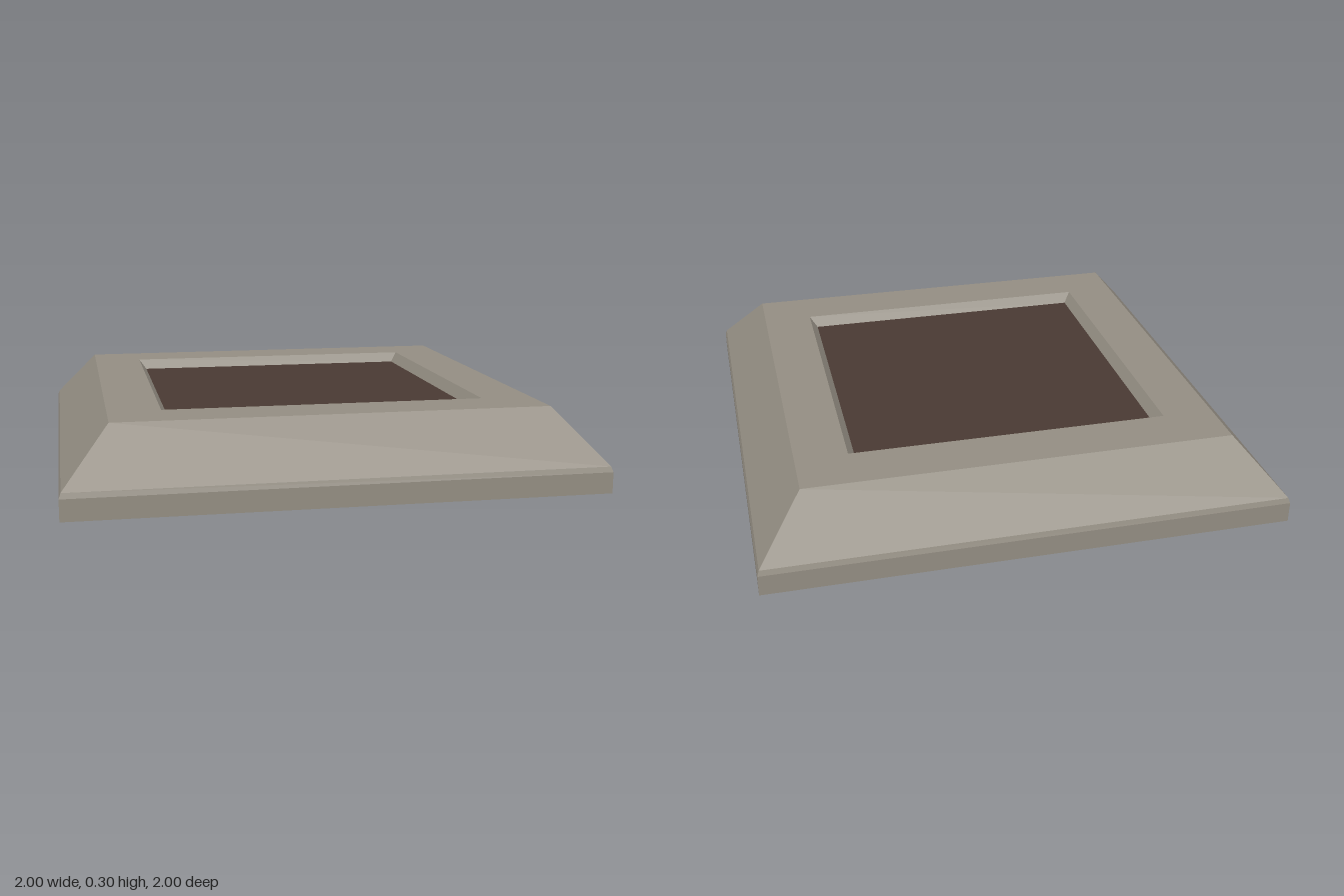
import * as THREE from 'three';

// Square ring shell: a profile of [half width, height] swept round four sides
function squareShell(profile) {
  const points = profile.map(([w, y]) => new THREE.Vector2(w * Math.SQRT2, y));
  const geometry = new THREE.LatheGeometry(points, 4, Math.PI / 4).toNonIndexed();
  geometry.computeVertexNormals();
  return geometry;
}

export function createModel() {
  const stone = new THREE.MeshStandardMaterial({ color: 0x948e83, side: THREE.DoubleSide });
  stone.name = 'stone';
  const soil = new THREE.MeshStandardMaterial({ color: 0x4a3a33, side: THREE.DoubleSide });
  soil.name = 'soil';

  const group = new THREE.Group();
  group.name = 'squarePlinth';

  // Upright skirt, small bevel, sloped sides, flat rim and recessed lip; open underneath
  const base = new THREE.Mesh(squareShell([
    [1, 0], [1, 0.08], [0.993, 0.1], [0.82, 0.3], [0.62, 0.3], [0.59, 0.26],
  ]), stone);
  base.name = 'stoneSurround';
  group.add(base);

  // Sunken panel closing the recess
  const panel = new THREE.Mesh(new THREE.PlaneGeometry(1.18, 1.18), soil);
  panel.name = 'soilPanel';
  panel.rotation.x = -Math.PI / 2;
  panel.position.y = 0.26;
  group.add(panel);

  return group;
}
